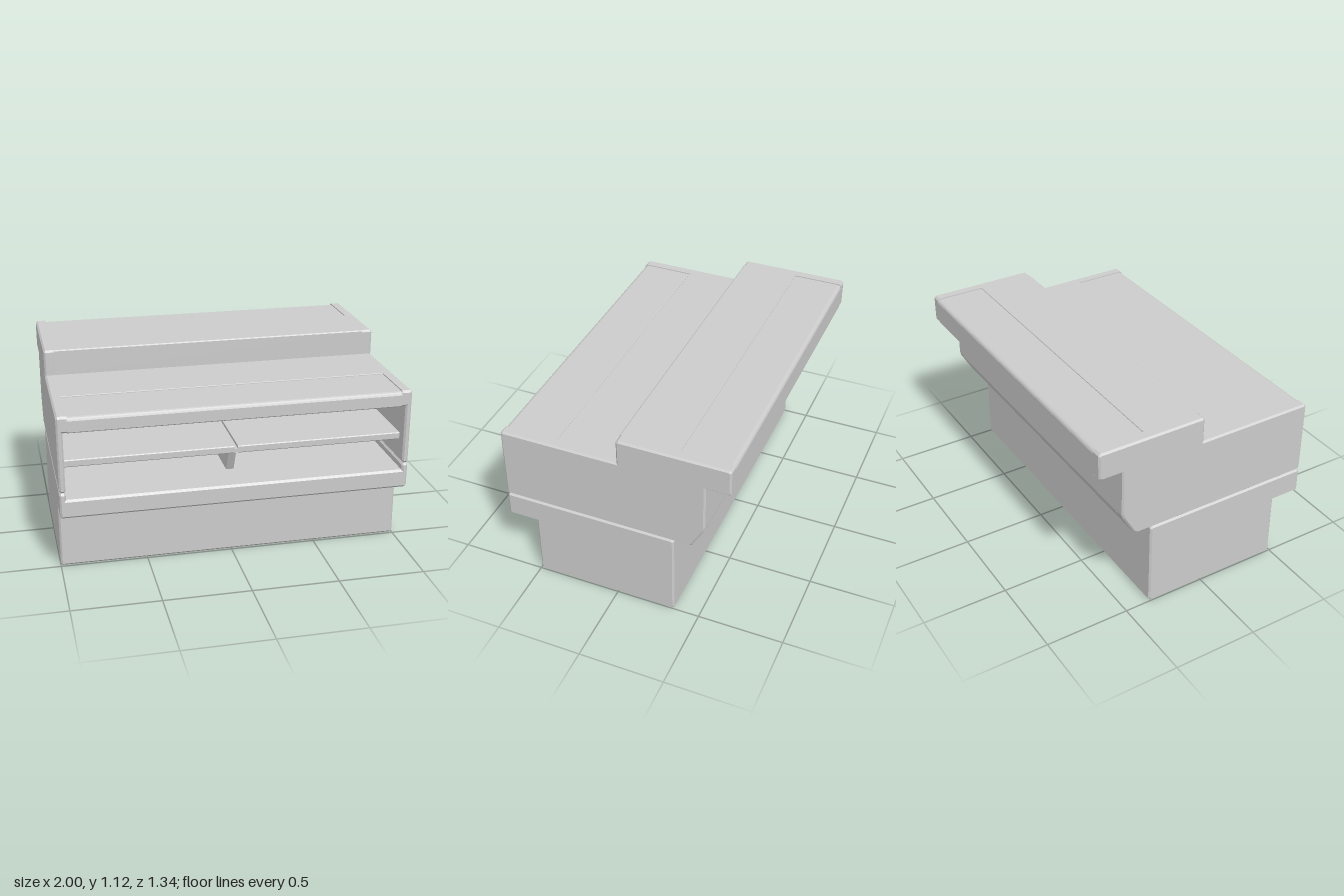
import * as THREE from 'three';

const material = new THREE.MeshStandardMaterial({ color: 0xcccccc });
const END = 0.975; // inner face of the end panels
const BACK = -0.3; // back wall of the open display

// Cuts the convex corners of a counter-clockwise (z, y) profile.
function chamfer(points, size) {
  const out = [];
  points.forEach((p, i) => {
    const a = points[(i + points.length - 1) % points.length];
    const b = points[(i + 1) % points.length];
    const u = [p[0] - a[0], p[1] - a[1]];
    const v = [b[0] - p[0], b[1] - p[1]];
    if (u[0] * v[1] - u[1] * v[0] <= 0 || size === 0) return out.push(p);
    const lu = Math.hypot(...u), lv = Math.hypot(...v);
    const c = Math.min(size, lu * 0.4, lv * 0.4);
    out.push([p[0] - u[0] / lu * c, p[1] - u[1] / lu * c]);
    out.push([p[0] + v[0] / lv * c, p[1] + v[1] / lv * c]);
  });
  return out;
}

// Extrudes a (z, y) profile along x from x0 to x1, with optional end bevels.
function prism(name, profile, x0, x1, { cut = 0.012, bevel = 0 } = {}) {
  const shape = new THREE.Shape(chamfer(profile, cut).map(([z, y]) => new THREE.Vector2(-z, y)));
  const geometry = new THREE.ExtrudeGeometry(shape, {
    depth: x1 - x0 - 2 * bevel,
    bevelEnabled: bevel > 0,
    bevelSize: bevel,
    bevelOffset: -bevel,
    bevelThickness: bevel,
    bevelSegments: 1,
  });
  geometry.rotateY(Math.PI / 2);
  geometry.translate(x0 + bevel, 0, 0);
  const mesh = new THREE.Mesh(geometry, material);
  mesh.name = name;
  return mesh;
}

export function createModel() {
  const model = new THREE.Group();
  model.name = 'displayCounter';

  // Shared outlines, as (z, y)
  const upperBack = [[-0.67, 0.96], [-0.53, 0.96], [-0.53, 0.67], [-0.45, 0.53]];
  const upperTop = [[0.67, 0.975], [-0.025, 0.975], [-0.025, 1.125], [-0.67, 1.125]];
  const lowerFront = [[0.495, 0], [0.495, 0.38], [0.67, 0.38]];
  const cavity = [[BACK, 0.53], [BACK, 0.88], [0.67, 0.88]];

  // Top with shallow inlays along the front and rear edges
  const inlaidTop = [
    [0.67, 0.955], [0.655, 0.969], [0.35, 0.969], [0.35, 0.975], [-0.025, 0.975],
    [-0.025, 1.125], [-0.37, 1.125], [-0.37, 1.119], [-0.655, 1.119], [-0.67, 1.105],
  ];

  // Solid end panels, upper and lower, on both sides
  const upperEnd = [[0.67, 0.532], ...upperTop, ...upperBack];
  const lowerEnd = [[-0.35, 0], ...lowerFront, [0.67, 0.53], [-0.35, 0.53]];
  for (const side of [-1, 1]) {
    const [a, b] = side < 0 ? [-1, -0.965] : [0.965, 1];
    model.add(prism('upperEndPanel', upperEnd, a, b, { bevel: 0.01 }));
    model.add(prism('lowerEndPanel', lowerEnd, a, b, { bevel: 0.01 }));
    const [c, d] = side < 0 ? [-END, -0.94] : [0.94, END];
    model.add(prism('hoodEdge', [...cavity, ...upperTop, ...upperBack], c, d));
  }

  // Hollow hood and the base with its sunken display floor
  model.add(prism('hood', [...cavity, ...inlaidTop, ...upperBack], -0.94, 0.94, { cut: 0.006 }));
  model.add(prism('base', [
    [-0.35, 0], ...lowerFront, [0.67, 0.49], [BACK, 0.49], [BACK, 0.53], [-0.35, 0.53],
  ], -END, END));

  // Shelf in two halves with a narrow groove between them
  const shelf = [[BACK, 0.655], [0.6, 0.655], [0.6, 0.697], [BACK, 0.697]];
  model.add(prism('shelf', shelf, -0.97, -0.01, { cut: 0.005 }));
  model.add(prism('shelf', shelf, 0.01, 0.97, { cut: 0.005 }));
  model.add(prism('shelfJoint', [[BACK, 0.656], [0.598, 0.656], [0.598, 0.68], [BACK, 0.68]], -0.012, 0.012, { cut: 0 }));

  // Central support under the shelf, slanted at the front
  model.add(prism('shelfSupport', [[BACK, 0.485], [0.44, 0.485], [0.52, 0.656], [BACK, 0.656]], -0.022, 0.022, { cut: 0 }));

  return model;
}
